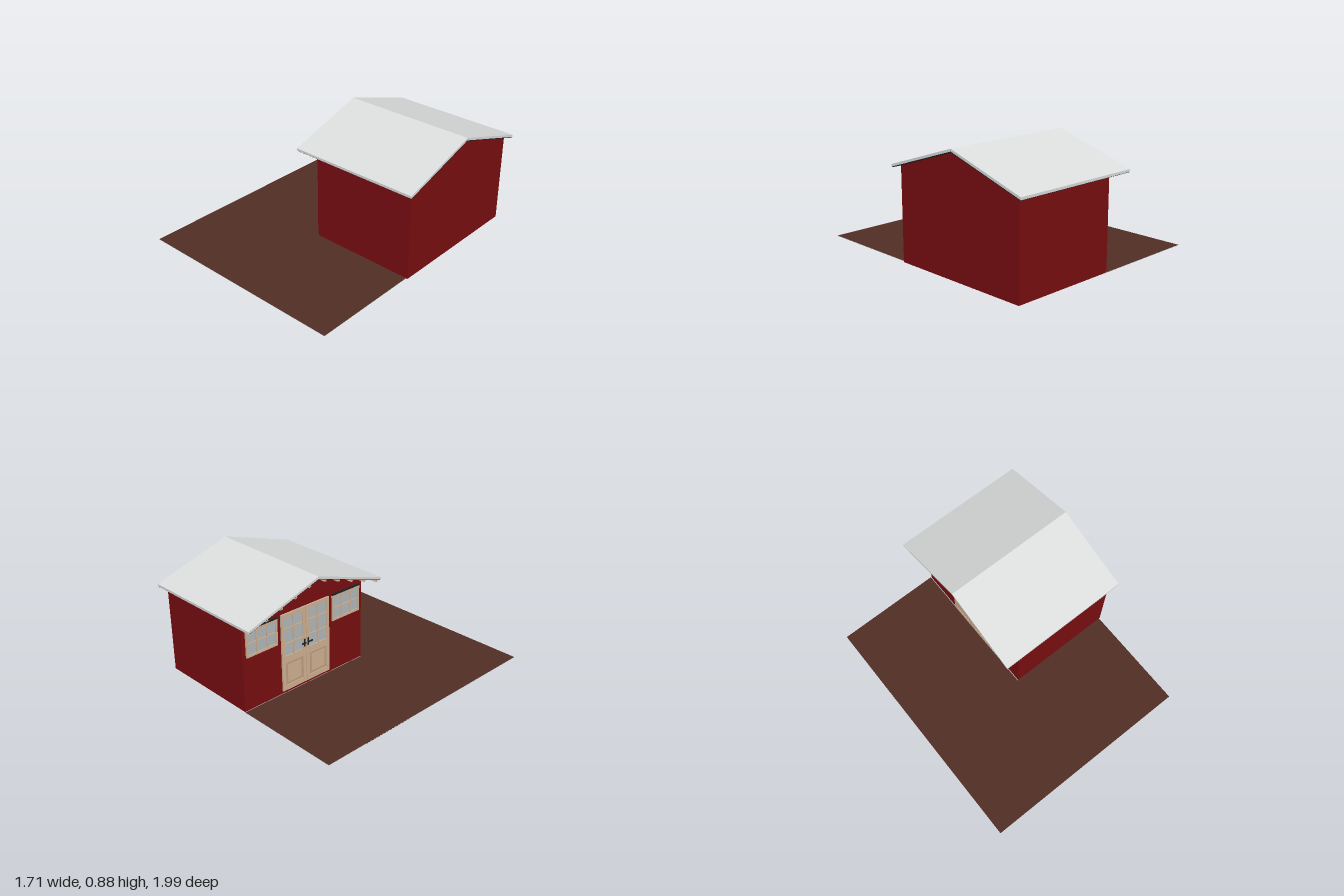
import * as THREE from 'three';

export function createModel() {
  const mat = (name, color, side = THREE.FrontSide) => {
    const m = new THREE.MeshStandardMaterial({ color, side });
    m.name = name;
    return m;
  };
  const red = mat('barn red', 0x7a0e11);
  const roofGrey = mat('roof pale grey', 0xdcdddd);
  const brown = mat('earth brown', 0x522e25, THREE.DoubleSide);
  const slabGrey = mat('slab grey', 0xb0b0b0);
  const wood = mat('door wood', 0xd2b294);
  const panelWood = mat('panel wood', 0xc0a080);
  const glass = mat('glass grey', 0xb4babd);
  const dark = mat('soffit charcoal', 0x1c2224);

  const model = new THREE.Group();
  model.name = 'shed';
  const site = new THREE.Group();
  site.name = 'site';
  site.rotation.y = -0.0055; // the plot sits very slightly askew
  model.add(site);

  const add = (parent, name, geometry, material) => {
    const mesh = new THREE.Mesh(geometry, material);
    mesh.name = name;
    parent.add(mesh);
    return mesh;
  };
  const box = (parent, name, material, x0, x1, y0, y1, z0, z1) => {
    const m = add(parent, name, new THREE.BoxGeometry(x1 - x0, y1 - y0, z1 - z0), material);
    m.position.set((x0 + x1) / 2, (y0 + y1) / 2, (z0 + z1) / 2);
    return m;
  };
  const shape = pts => new THREE.Shape(pts.map(p => new THREE.Vector2(p[0], p[1])));

  // Cross-section of [z, y] points, extruded from x0 to x1
  const prism = (pts, x0, x1) => new THREE.ExtrudeGeometry(shape(pts), { depth: x1 - x0, bevelEnabled: false })
    .rotateY(-Math.PI / 2).translate(x1, 0, 0);

  // Shed dimensions
  const wallX = -0.02, backX = 0.81, ridgeZ = -0.39, half = 0.555;
  const slope = 0.32, ridgeY = 0.885, eave = 0.607;

  // Walls with gables
  add(site, 'walls', prism([
    [ridgeZ - half, 0], [ridgeZ + half, 0], [ridgeZ + half, 0.861 - slope * half],
    [ridgeZ, 0.861], [ridgeZ - half, 0.861 - slope * half],
  ], wallX, backX), red);

  // Folded roof sheet with a dark underside
  const chevron = (top, thick, reach) => [
    [ridgeZ - reach, top - slope * reach - thick], [ridgeZ, top - thick],
    [ridgeZ + reach, top - slope * reach - thick], [ridgeZ + reach, top - slope * reach],
    [ridgeZ, top], [ridgeZ - reach, top - slope * reach],
  ];
  add(site, 'roof', prism(chevron(ridgeY, 0.018, eave), -0.17, 0.85), roofGrey);
  add(site, 'soffit', prism(chevron(ridgeY - 0.018, 0.005, eave - 0.004), -0.166, 0.849), dark);

  // Purlins carrying the porch overhang
  const angle = Math.atan(slope);
  for (const side of [-1, 1]) {
    for (let i = 0; i < 5; i++) {
      const d = 0.07 + i * 0.125;
      const purlin = box(site, 'purlin', wood, -0.16, wallX + 0.01, 0, 0.016, -0.01, 0.01);
      purlin.position.y = ridgeY - 0.032 - slope * d;
      purlin.position.z = ridgeZ + side * d;
      purlin.rotation.x = side * angle;
    }
  }

  // Glazed panel with a frame and glazing bars, facing -x
  function glazed(parent, y0, y1, z0, z1, cols, rows, frame, bar) {
    box(parent, 'glass', glass, wallX - 0.005, wallX, y0, y1, z0, z1);
    const face = wallX - 0.012;
    const strip = (a, b, c, d) => box(parent, 'frame bar', wood, face, wallX, a, b, c, d);
    strip(y0, y0 + frame, z0, z1);
    strip(y1 - frame, y1, z0, z1);
    strip(y0 + frame, y1 - frame, z0, z0 + frame);
    strip(y0 + frame, y1 - frame, z1 - frame, z1);
    for (let i = 1; i < cols; i++) {
      const z = z0 + (z1 - z0) * i / cols;
      strip(y0 + frame, y1 - frame, z - bar / 2, z + bar / 2);
    }
    for (let i = 1; i < rows; i++) {
      const y = y0 + (y1 - y0) * i / rows;
      box(parent, 'frame bar', wood, face + 0.001, wallX, y - bar / 2, y + bar / 2, z0 + frame, z1 - frame);
    }
  }

  for (const side of [-1, 1]) {
    // Windows either side of the doors
    const win = new THREE.Group();
    win.name = 'window';
    site.add(win);
    const wz = ridgeZ + side * 0.39;
    glazed(win, 0.41, 0.61, wz - 0.135, wz + 0.135, 3, 2, 0.016, 0.009);
    box(win, 'lintel', dark, wallX - 0.012, wallX, 0.61, 0.622, wz - 0.135, wz + 0.135);

    // Door leaves: glazed above, solid panel below
    const leaf = new THREE.Group();
    leaf.name = 'doorLeaf';
    site.add(leaf);
    const a = ridgeZ + side * 0.002, b = ridgeZ + side * 0.222;
    const z0 = Math.min(a, b), z1 = Math.max(a, b);
    glazed(leaf, 0.27, 0.62, z0, z1, 2, 3, 0.026, 0.011);
    box(leaf, 'lowerPanel', panelWood, wallX - 0.007, wallX, 0.025, 0.27, z0, z1);
    for (const [y0, y1, c, d] of [
      [0.025, 0.065, z0, z1], [0.24, 0.27, z0, z1],
      [0.065, 0.24, z0, z0 + 0.028], [0.065, 0.24, z1 - 0.028, z1],
    ]) box(leaf, 'rail', wood, wallX - 0.012, wallX, y0, y1, c, d);
    box(leaf, 'raisedPanel', wood, wallX - 0.01, wallX, 0.085, 0.22, z0 + 0.048, z1 - 0.048);

    // Lever handle and plate
    const hz = ridgeZ + side * 0.016;
    box(leaf, 'handlePlate', dark, wallX - 0.015, wallX, 0.31, 0.37, hz - 0.006, hz + 0.006);
    box(leaf, 'handleStem', dark, wallX - 0.025, wallX, 0.338, 0.346, hz - 0.004, hz + 0.004);
    const lz = hz + side * 0.015;
    box(leaf, 'handleLever', dark, wallX - 0.027, wallX - 0.02, 0.337, 0.347, lz - 0.019, lz + 0.019);
  }
  box(site, 'doorGap', dark, wallX - 0.006, wallX, 0.025, 0.62, ridgeZ - 0.002, ridgeZ + 0.002);

  // L-shaped ground around the shed: pale slab with an earth surface
  const ground = inset => shape([
    [-0.85, 0.95], [-0.85, -0.99], [0.8, -0.99], [0.8, -0.165],
    [wallX - inset, -0.165], [wallX - inset, 0.95],
  ]);
  add(site, 'groundSlab', new THREE.ExtrudeGeometry(ground(0), { depth: 0.002, bevelEnabled: false })
    .rotateX(-Math.PI / 2).translate(0, 0.001, 0), slabGrey);
  add(site, 'groundSurface', new THREE.ShapeGeometry(ground(0.006))
    .rotateX(-Math.PI / 2).translate(0, 0.004, 0), brown);
  // Path leading to the doors
  box(site, 'path', brown, -0.85, wallX, 0, 0.003, -0.625, -0.215);

  return model;
}
